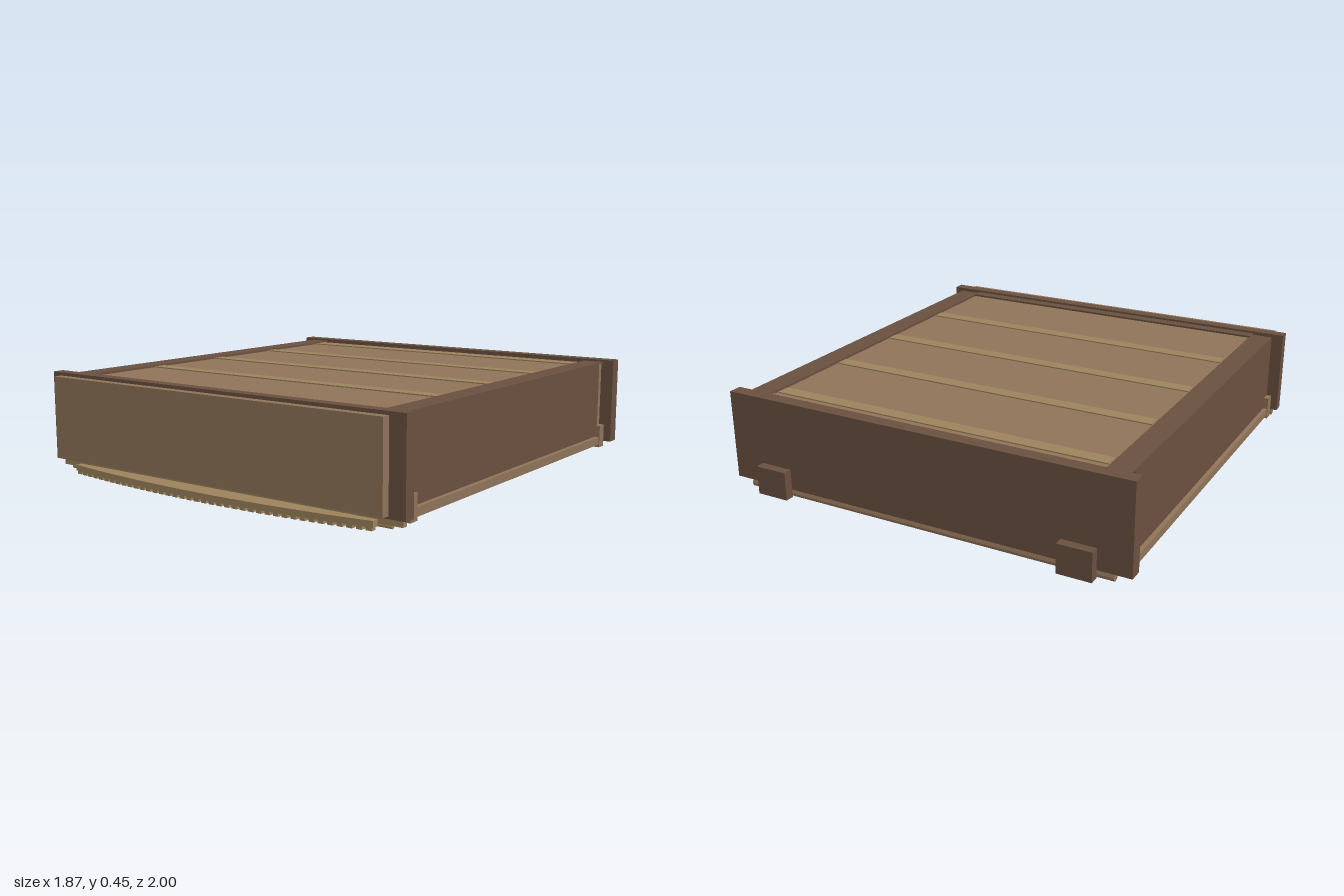
import * as THREE from 'three';

const material = (color) => new THREE.MeshStandardMaterial({ color, flatShading: true });
const dark = material(0x6a503f);
const brown = material(0x8f7358);
const tan = material(0x9c825c);

export function createModel() {
  const model = new THREE.Group();

  // Box given by its lower and upper limits on each axis
  const box = (name, mat, [x0, x1], [y0, y1], [z0, z1]) => {
    const mesh = new THREE.Mesh(new THREE.BoxGeometry(x1 - x0, y1 - y0, z1 - z0), mat);
    mesh.position.set((x0 + x1) / 2, (y0 + y1) / 2, (z0 + z1) / 2);
    mesh.name = name;
    model.add(mesh);
    return mesh;
  };

  // The same box on both sides
  const pair = (name, mat, [x0, x1], y, z) => {
    box(name + 'Left', mat, [x0, x1], y, z);
    box(name + 'Right', mat, [-x1, -x0], y, z);
  };

  // Round rod centred on a point, running along x or z
  const rod = (name, mat, axis, length, radius, x, y, z) => {
    const mesh = new THREE.Mesh(new THREE.CylinderGeometry(radius, radius, length, 8), mat);
    if (axis === 'x') mesh.rotation.z = Math.PI / 2;
    else mesh.rotation.x = Math.PI / 2;
    mesh.position.set(x, y, z);
    mesh.name = name;
    model.add(mesh);
  };

  // End panels, front plate and rear feet
  box('backPanel', dark, [-0.935, 0.935], [0.05, 0.447], [-0.96, -0.9]);
  box('frontPanel', dark, [-0.935, 0.935], [0.055, 0.447], [0.88, 0.932]);
  box('frontPlate', brown, [-0.87, 0.87], [0.07, 0.435], [0.945, 0.983]);
  pair('rearFoot', dark, [0.64, 0.79], [0.015, 0.143], [-1, -0.96]);

  // Side walls with their inner lining, corner posts, sills and brackets
  pair('sideWall', dark, [0.785, 0.885], [0.045, 0.437], [-0.85, 0.86]);
  pair('sideLining', tan, [0.775, 0.785], [0.05, 0.42], [-0.88, 0.83]);
  pair('rearPost', brown, [0.785, 0.875], [0.05, 0.432], [-0.9, -0.85]);
  pair('rearPostCap', dark, [0.785, 0.885], [0.432, 0.437], [-0.9, -0.85]);
  pair('frontPost', brown, [0.8, 0.875], [0.06, 0.42], [0.86, 0.88]);
  pair('sideSill', brown, [0.885, 0.905], [0.045, 0.08], [-0.83, 0.82]);
  pair('frontBracket', brown, [0.865, 0.908], [0.03, 0.135], [0.812, 0.86]);
  pair('rearBracket', brown, [0.865, 0.908], [0.03, 0.135], [-0.88, -0.832]);
  box('frontInnerWall', dark, [-0.785, 0.785], [0.045, 0.437], [0.83, 0.88]);

  // Lid and the dividers that split the hollow inside
  box('lid', brown, [-0.78, 0.78], [0.415, 0.428], [-0.9, 0.83]);
  const dividers = [-0.81, -0.392, 0.02, 0.438];
  dividers.forEach((z, i) => {
    box('divider', tan, [-0.775, 0.775], [0.045, 0.433], [z - 0.03, z + 0.03]);

    // Bead moulding round the bottom of each compartment
    const end = i < 3 ? dividers[i + 1] - 0.035 : 0.825;
    const start = z + 0.045;
    rod('beadBack', tan, 'x', 1.56, 0.01, 0, 0.037, start);
    rod('beadFront', tan, 'x', 1.56, 0.01, 0, 0.037, end);
    for (const s of [-1, 1]) {
      rod('beadSide', tan, 'z', end - start, 0.008, s * 0.77, 0.04, (start + end) / 2);
    }
  });

  // Long bottom rails
  rod('rearRail', brown, 'x', 1.72, 0.02, 0, 0.032, -0.94);
  box('frontRail', tan, [-0.91, 0.91], [0.025, 0.055], [0.885, 0.91]);
  rod('frontRailBead', tan, 'x', 1.72, 0.01, 0, 0.02, 0.9);
  for (const s of [-1, 1]) {
    rod('sideBead', brown, 'z', 1.66, 0.012, s * 0.885, 0.046, -0.005);
  }

  // Bowed apron under the front
  const bow = (x) => 1 - 0.094 * x * x;
  const outline = new THREE.Shape();
  outline.moveTo(-0.8, -0.91);
  for (let i = 0; i <= 24; i++) {
    const x = -0.8 + (1.6 * i) / 24;
    outline.lineTo(x, -bow(x));
  }
  outline.lineTo(0.8, -0.91);
  const apron = new THREE.Mesh(
    new THREE.ExtrudeGeometry(outline, { depth: 0.026, bevelEnabled: false }), tan);
  apron.rotation.x = -Math.PI / 2;
  apron.position.y = 0.014;
  apron.name = 'bowedApron';
  model.add(apron);

  // Small teeth along the lower edge of the apron
  for (let i = 0; i < 40; i++) {
    const x = -0.78 + (1.56 * i) / 39;
    box('apronTooth', tan, [x - 0.013, x + 0.013], [0, 0.016], [bow(x) - 0.03, bow(x) - 0.004]);
  }

  return model;
}
